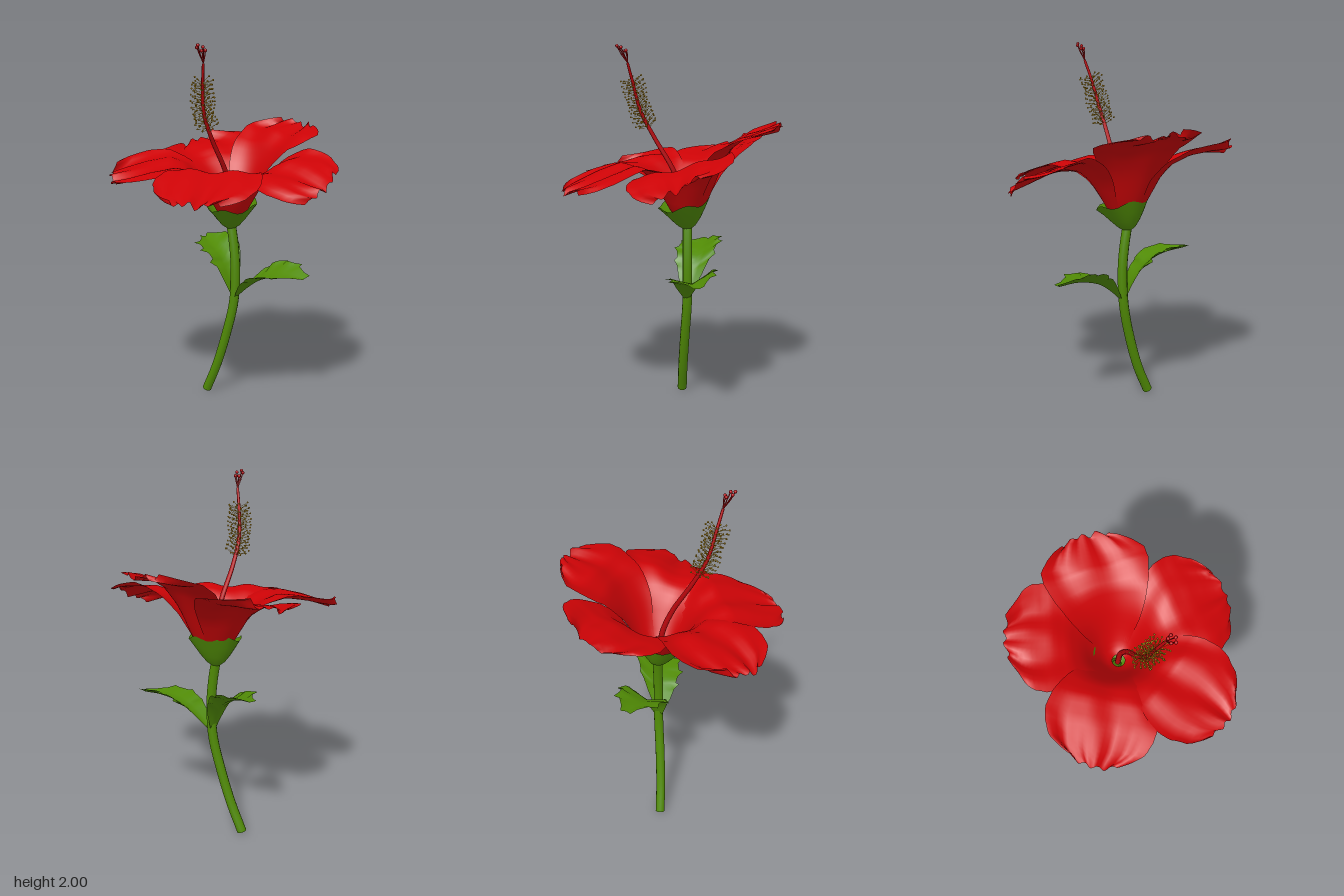
import * as THREE from 'three';
import { mergeGeometries } from 'three/addons/utils/BufferGeometryUtils.js';

const V = (x, y, z) => new THREE.Vector3(x, y, z);

const mat = (name, color, side = THREE.FrontSide) => {
  const m = new THREE.MeshStandardMaterial({ color, side });
  m.name = name;
  return m;
};

// piecewise interpolation through [t, value] pairs
function sample(pts, t) {
  for (let i = 1; i < pts.length; i++) {
    const [a, p] = pts[i - 1], [b, q] = pts[i];
    if (t <= b) return p + (q - p) * Math.max(0, (t - a) / (b - a));
  }
  return pts[pts.length - 1][1];
}

// open surface from a rule f(u 0..1, v -1..1)
function sheet(f, nu, nv) {
  const pos = [], idx = [];
  for (let i = 0; i <= nu; i++) {
    for (let j = 0; j <= nv; j++) {
      const p = f(i / nu, (j / nv) * 2 - 1);
      pos.push(p.x, p.y, p.z);
      if (i < nu && j < nv) {
        const a = i * (nv + 1) + j, b = a + nv + 1;
        idx.push(a, a + 1, b, b, a + 1, b + 1);
      }
    }
  }
  const g = new THREE.BufferGeometry();
  g.setAttribute('position', new THREE.Float32BufferAttribute(pos, 3));
  g.setIndex(idx);
  g.computeVertexNormals();
  return g;
}

// thin rod between two points
function rod(a, b, r, sides = 4) {
  const d = b.clone().sub(a);
  const g = new THREE.CylinderGeometry(r, r, d.length(), sides, 1);
  g.applyQuaternion(new THREE.Quaternion().setFromUnitVectors(V(0, 1, 0), d.normalize()));
  return g.translate((a.x + b.x) / 2, (a.y + b.y) / 2, (a.z + b.z) / 2);
}

const ball = (p, r, w = 6, h = 4) => new THREE.SphereGeometry(r, w, h).translate(p.x, p.y, p.z);

// petal: a funnel wall that opens into a broad ruffled blade
const WIDTH = [[0, 0.03], [0.2, 0.125], [0.3, 0.185], [0.4, 0.232], [0.5, 0.262], [0.62, 0.28],
  [0.75, 0.272], [0.87, 0.235], [0.95, 0.185], [1, 0.13]];

function petal({ angle, length, throat = 0, mid, rim, width = 1, cup, twist, seed }) {
  const heights = [[0.03, 1.05], [0.08, 1.09], [0.125, 1.17], [0.19, 1.275 + throat / 2], [0.25, 1.335 + throat],
    [0.33, mid], [0.45, mid * 0.6 + rim * 0.4 + 0.012], [length, rim]];
  const c = Math.cos(angle), s = Math.sin(angle);
  return sheet((u, v) => {
    let r = 0.035 + u * (length - 0.035);
    const w = sample(WIDTH, u) * width;
    const edge = Math.max(0, (u - 0.6) / 0.4);
    const open = THREE.MathUtils.smoothstep(r, 0.14, 0.36);
    const y = sample(heights, r) + cup * v * v * open + twist * v * open
      + 0.01 * open * Math.sin(v * 7 + seed + u * 3)
      + 0.012 * edge * Math.sin(v * 13 + seed * 2);
    r += edge * (0.009 * Math.sin(v * 12 + seed * 3) - 0.035 * v * v);
    const side = v * w * (1 + 0.03 * edge * Math.sin(u * 26 + seed));
    // wrap round the throat, flatten further out
    const phi = side / Math.max(r, 0.035);
    const along = THREE.MathUtils.lerp(r * Math.cos(phi), r, open);
    const across = THREE.MathUtils.lerp(r * Math.sin(phi), side, open);
    return V(-0.05 + along * c - across * s, y, -0.06 + along * s + across * c);
  }, 24, 20);
}

// serrated leaf folded along its midrib, the front half lying lower
function leaf(points, lift, tilt) {
  const spine = new THREE.CatmullRomCurve3(points);
  const widths = [[0, 0.02], [0.2, 0.07], [0.4, 0.108], [0.6, 0.128], [0.8, 0.112], [1, 0.025]];
  return sheet((u, v) => {
    const p = spine.getPoint(u);
    const tooth = u > 0.3 && Math.round(u * 20) % 4 === 0 ? 1.1 : 0.94;
    const w = sample(widths, u) * (Math.abs(v) > 0.9 ? tooth : 1);
    p.z += v * w;
    p.y += (Math.abs(v) * lift - v * tilt) * Math.sin(Math.PI * Math.min(1, u * 0.88 + 0.05));
    p.x += Math.abs(v) * 0.02 * Math.sign(points[4].x) * (tooth > 1 ? 1 : 0);
    return p;
  }, 20, 6);
}

export function createModel() {
  const flower = new THREE.Group();
  flower.name = 'flower';
  const green = mat('leaf green', 0x508a05, THREE.DoubleSide);
  const red = mat('petal red', 0xcc0306, THREE.DoubleSide);
  const darkRed = mat('pistil red', 0xb4050b);
  const gold = mat('pollen gold', 0xcf9c04);
  const add = (name, geometry, material, parent = flower) => {
    const m = new THREE.Mesh(geometry, material);
    m.name = name;
    parent.add(m);
    return m;
  };

  // stem
  const stemPath = new THREE.CatmullRomCurve3([V(-0.22, 0.01, -0.016), V(-0.15, 0.17, -0.03),
    V(-0.085, 0.38, -0.05), V(-0.042, 0.58, -0.068), V(-0.033, 0.78, -0.07), V(-0.046, 0.92, -0.068),
    V(-0.065, 1.03, -0.065)]);
  add('stem', new THREE.TubeGeometry(stemPath, 24, 0.027, 10), green);
  const cap = add('stemEnd', new THREE.CircleGeometry(0.027, 10), green);
  cap.position.copy(stemPath.getPoint(0));
  cap.lookAt(cap.position.clone().sub(stemPath.getTangent(0)));

  // leaves
  add('leftLeaf', leaf([V(-0.02, 0.605, -0.07), V(0.05, 0.67, -0.09), V(0.13, 0.725, -0.115),
    V(0.25, 0.755, -0.135), V(0.38, 0.762, -0.185)], 0.055, 0.03), green);
  add('rightLeaf', leaf([V(-0.045, 0.605, -0.07), V(-0.085, 0.71, -0.085), V(-0.16, 0.81, -0.105),
    V(-0.26, 0.86, -0.115), V(-0.375, 0.89, -0.15)], 0.05, 0.025), green);

  // calyx cup with five lobes
  const calyx = new THREE.LatheGeometry([[0.025, 1], [0.05, 1.018], [0.081, 1.055], [0.112, 1.1], [0.143, 1.147]]
    .map(p => new THREE.Vector2(...p)), 30);
  const cp = calyx.attributes.position;
  for (let i = 0; i < cp.count; i++) {
    const x = cp.getX(i), y = cp.getY(i), z = cp.getZ(i), k = (y - 1) / 0.147;
    const lobe = 0.012 * Math.cos(5 * Math.atan2(z, x) + 1) * k * k * k;
    cp.setXYZ(i, x - 0.062 + 0.02 * k, y + lobe - k * (0.13 * x + 0.18 * z), z - 0.063 + 0.015 * k);
  }
  calyx.computeVertexNormals();
  add('calyx', calyx, green);

  // petals
  const petals = new THREE.Group();
  petals.name = 'petals';
  flower.add(petals);
  [
    { angle: -1.475, length: 0.515, throat: 0.11, mid: 1.515, rim: 1.565, cup: 0.005, twist: -0.015, seed: 1 },
    { angle: -0.06, length: 0.645, throat: 0.01, mid: 1.37, rim: 1.285, width: 0.97, cup: 0.015, twist: -0.07, seed: 2.3 },
    { angle: 1.035, length: 0.69, mid: 1.36, rim: 1.235, cup: 0.01, twist: 0, seed: 3.1 },
    { angle: 2.17, length: 0.665, throat: 0.01, mid: 1.37, rim: 1.3, cup: 0.015, twist: 0.04, seed: 4.4 },
    { angle: 3.51, length: 0.565, throat: 0.03, mid: 1.41, rim: 1.45, width: 0.99, cup: 0.015, twist: 0.045, seed: 5.7 },
  ].forEach((p, i) => add('petal' + (i + 1), petal(p), red, petals));

  // pistil column
  const column = new THREE.CatmullRomCurve3([V(-0.055, 1.04, -0.06), V(-0.045, 1.2, -0.04), V(-0.03, 1.33, 0.01),
    V(-0.022, 1.51, 0.115), V(-0.005, 1.65, 0.185), V(0.03, 1.81, 0.222), V(0.058, 1.905, 0.242)]);
  const tube = new THREE.TubeGeometry(column, 30, 0.012, 8);
  const tp = tube.attributes.position;
  for (let i = 0; i < tp.count; i++) { // taper towards the tip
    const t = Math.floor(i / 9) / 30, c = column.getPointAt(t), v = V(0, 0, 0).fromBufferAttribute(tp, i);
    v.sub(c).multiplyScalar(1.4 - 0.8 * t).add(c);
    tp.setXYZ(i, v.x, v.y, v.z);
  }
  add('pistil', tube, darkRed);

  // stigma branches
  const top = column.getPoint(1), stigma = [];
  for (let i = 0; i < 5; i++) {
    const a = i * Math.PI * 0.4;
    const knee = V(top.x + 0.008 + 0.012 * Math.cos(a), 1.95, top.z + 0.015 + 0.018 * Math.sin(a));
    const tip = V(top.x + 0.014 + 0.016 * Math.cos(a), 1.978 + 0.014 * Math.sin(a + 0.4), top.z + 0.028 + 0.026 * Math.sin(a));
    stigma.push(rod(top, knee, 0.003, 5), rod(knee, tip, 0.003, 5), ball(tip, 0.009, 8, 6));
  }
  add('stigma', mergeGeometries(stigma), darkRed);

  // stamens spiralling round the upper column
  const stamens = [];
  for (let i = 0; i < 130; i++) {
    const t = 0.60 + 0.29 * (i / 129), a = i * 2.4;
    const base = column.getPointAt(t), dir = column.getTangentAt(t);
    const e1 = V(1, 0, 0).addScaledVector(dir, -dir.x).normalize();
    const e2 = dir.clone().cross(e1);
    const len = 0.038 + 0.026 * Math.abs(Math.sin(i * 1.7));
    const tip = base.clone().addScaledVector(e1, len * Math.cos(a)).addScaledVector(e2, len * Math.sin(a))
      .addScaledVector(dir, 0.02);
    stamens.push(rod(base, tip, 0.001, 3), ball(tip, 0.005));
  }
  add('stamens', mergeGeometries(stamens), gold);
  return flower;
}
